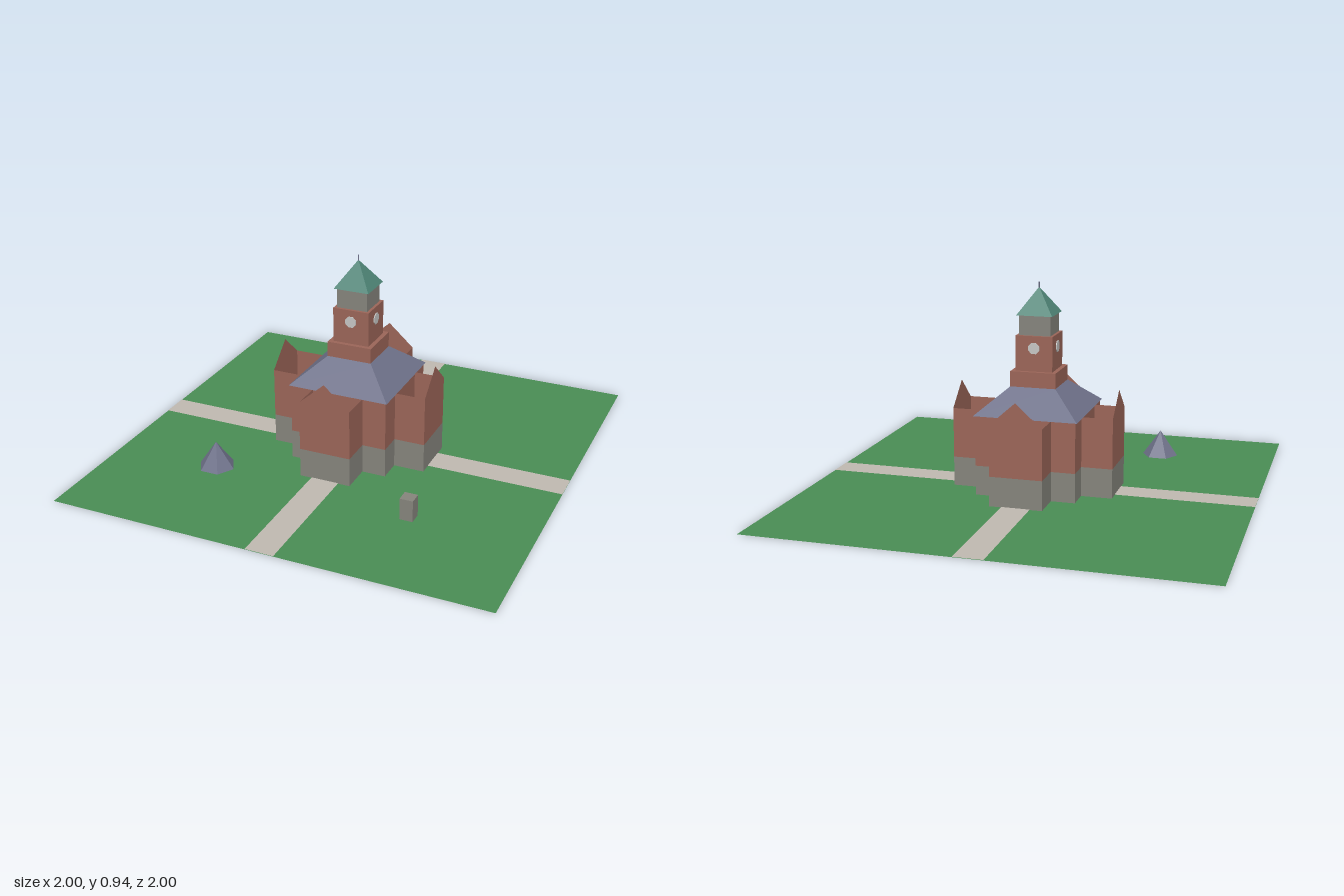
import * as THREE from 'three';

const mat = (name, color, double = false) => {
  const m = new THREE.MeshStandardMaterial({ color });
  m.name = name;
  m.flatShading = true;
  if (double) m.side = THREE.DoubleSide;
  return m;
};

export function createModel() {
  const model = new THREE.Group();
  model.name = 'towerHallAndGreen';

  const grass = mat('grass green', 0x498d54, true);
  const path = mat('path grey', 0xbfb8b0);
  const brick = mat('red brick', 0x9b6558, true);
  const stone = mat('grey stone', 0x85847c, true);
  const slate = mat('slate', 0x6e7189);
  const copper = mat('green copper', 0x4f8577);
  const dial = mat('dial grey', 0xc6c6c4);

  const add = (parent, name, geometry, material, x = 0, y = 0, z = 0) => {
    const mesh = new THREE.Mesh(geometry, material);
    mesh.name = name;
    mesh.position.set(x, y, z);
    parent.add(mesh);
    return mesh;
  };
  // Square block from y0 to y1
  const block = (name, half, y0, y1, material, x = 0, z = 0) =>
    add(model, name, new THREE.BoxGeometry(half * 2, y1 - y0, half * 2), material, x, (y0 + y1) / 2, z);
  // Square frustum or pyramid with sides facing the axes
  const hip = (name, top, base, y0, y1, material) =>
    add(model, name,
      new THREE.CylinderGeometry(top * Math.SQRT2, base * Math.SQRT2, y1 - y0, 4).rotateY(Math.PI / 4),
      material, 0, (y0 + y1) / 2, 0);
  const flat = (w, d) => new THREE.PlaneGeometry(w, d).rotateX(-Math.PI / 2);

  // Lawn and crossing paths
  add(model, 'lawn', flat(2, 2), grass);
  add(model, 'pathLengthwise', flat(0.13, 2), path, 0, 0.002, 0);
  add(model, 'pathCrosswiseLeft', flat(0.935, 0.13), path, 0.5325, 0.002, 0);
  add(model, 'pathCrosswiseRight', flat(0.935, 0.13), path, -0.5325, 0.002, 0);

  // Central hall
  const plinth = 0.135, eaves = 0.365;
  block('hallPlinth', 0.23, 0, plinth, stone);
  block('hallWalls', 0.23, plinth, eaves, brick);
  hip('hallRoof', 0.105, 0.238, eaves, 0.48, slate);

  // Four open-topped gabled wings
  const half = 0.12, inner = 0.23, outer = 0.372;
  const gable = new THREE.Shape([[-half, plinth], [half, plinth], [half, eaves], [0, 0.472], [-half, eaves]]
    .map(([x, y]) => new THREE.Vector2(x, y)));
  for (let i = 0; i < 4; i++) {
    const wing = new THREE.Group();
    wing.name = 'wing' + i;
    wing.rotation.y = i * Math.PI / 2;
    add(wing, 'gableWall', new THREE.ShapeGeometry(gable), brick, 0, 0, outer);
    add(wing, 'gablePlinth', new THREE.PlaneGeometry(half * 2, plinth), stone, 0, plinth / 2, outer);
    for (const s of [-1, 1]) {
      const side = (name, y0, y1, m) => add(wing, name,
        new THREE.PlaneGeometry(outer - inner, y1 - y0).rotateY(s * Math.PI / 2),
        m, s * half, (y0 + y1) / 2, (inner + outer) / 2);
      side('sidePlinth', 0, plinth, stone);
      side('sideWall', plinth, eaves, brick);
    }
    model.add(wing);
  }

  // Tower stages, roof and finial
  block('towerBase', 0.105, 0.475, 0.55, brick);
  block('clockStage', 0.085, 0.55, 0.71, brick);
  block('belfry', 0.072, 0.71, 0.8, stone);
  hip('towerRoof', 0, 0.083, 0.8, 0.92, copper);
  add(model, 'finial', new THREE.CylinderGeometry(0.003, 0.003, 0.04, 6), slate, 0, 0.922, 0);

  // One clock dial on each tower face
  for (let i = 0; i < 4; i++) {
    const clock = new THREE.Group();
    clock.name = 'clock' + i;
    clock.rotation.y = i * Math.PI / 2;
    add(clock, 'dial', new THREE.CylinderGeometry(0.027, 0.027, 0.004, 8)
      .rotateY(Math.PI / 8).rotateX(Math.PI / 2), dial, 0, 0.655, 0.087);
    model.add(clock);
  }

  // Six-sided shelter roof and a stone pedestal on the lawn
  add(model, 'shelterRoof', new THREE.ConeGeometry(0.084, 0.12, 6).rotateY(Math.PI / 2),
    slate, -0.47, 0.1, 0.505);
  block('pedestal', 0.03, 0, 0.1, stone, 0.453, 0.505);

  return model;
}
